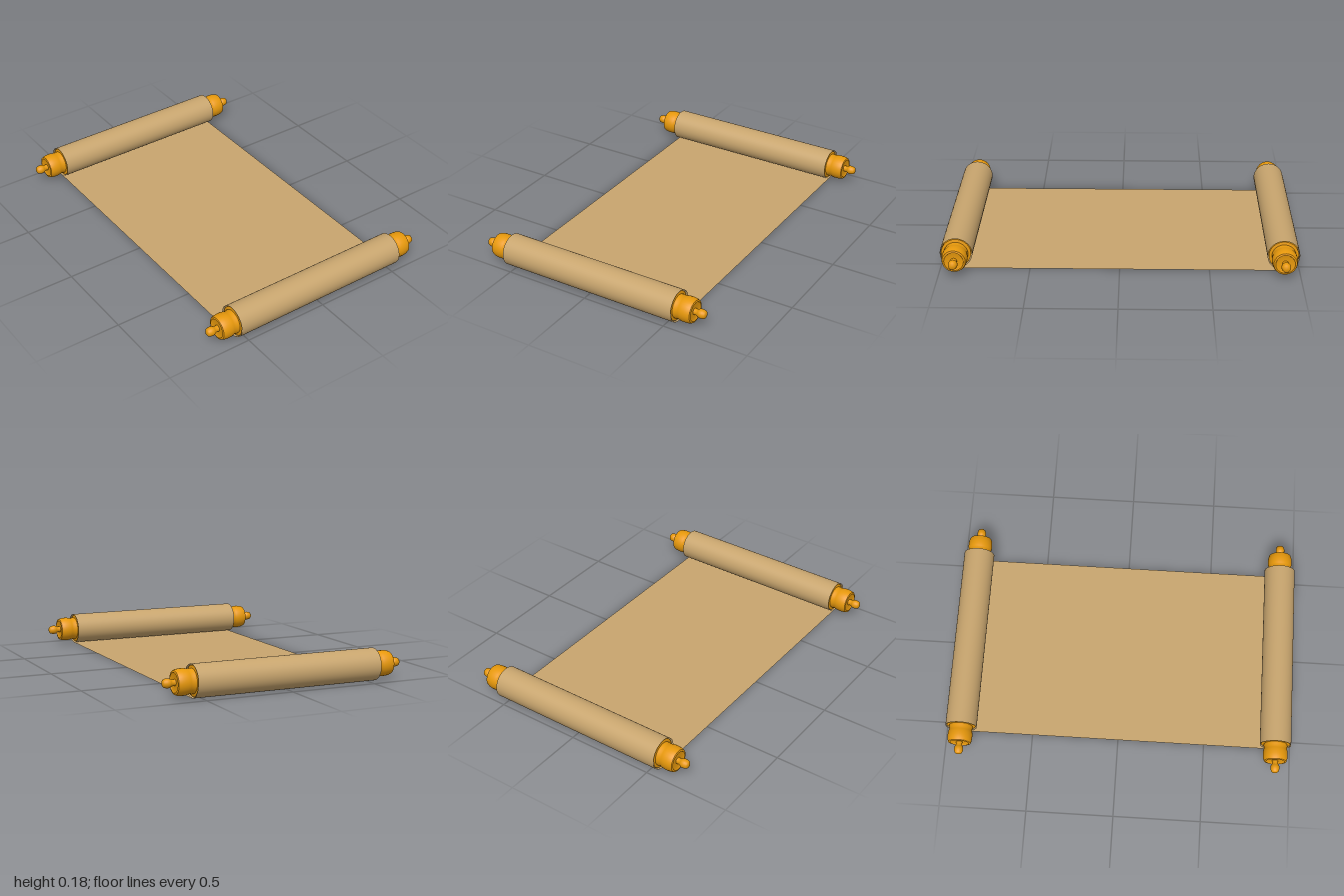
import * as THREE from 'three';

const paper = new THREE.MeshStandardMaterial({ color: 0xc8a56e, side: THREE.DoubleSide });
paper.name = 'parchment';
const gold = new THREE.MeshStandardMaterial({ color: 0xe8990c });
gold.name = 'gold';

const HALF = 0.545, R = 0.09, ROLL_Z = 0.91;

// Ribbon across x from a cross-section of [z, y] points
function ribbon(points, name) {
  const pos = [], index = [];
  points.forEach(([z, y], i) => {
    pos.push(-HALF, y, z, HALF, y, z);
    if (i > 0) {
      const a = 2 * i - 2;
      index.push(a, a + 2, a + 1, a + 1, a + 2, a + 3);
    }
  });
  const g = new THREE.BufferGeometry();
  g.setAttribute('position', new THREE.Float32BufferAttribute(pos, 3));
  g.setIndex(index);
  g.computeVertexNormals();
  const mesh = new THREE.Mesh(g, paper);
  mesh.name = name;
  return mesh;
}

// Paper wound outwards from the bottom tangent, with a slightly shrinking radius
function rollSection() {
  const pts = [], steps = 72, turns = 1.25;
  for (let i = 0; i <= steps; i++) {
    const t = i / steps, a = t * turns * Math.PI * 2;
    const r = R - 0.005 * Math.max(0, t * turns - 0.75) / 0.5;
    pts.push([ROLL_Z + Math.sin(a) * r, R - Math.cos(a) * r]);
  }
  return pts;
}

// Turned end: inset flange, barrel, neck and small ball, as [radius, x]
function handle() {
  const sections = [
    [[0, 0.5], [0.083, 0.5]],
    [[0.083, 0.5], [0.083, 0.538]],
    [[0.083, 0.538], [0.067, 0.541]],
    [[0.067, 0.541], [0.068, 0.552], [0.065, 0.563], [0.068, 0.575], [0.071, 0.59],
      [0.071, 0.61], [0.069, 0.628], [0.064, 0.642]],
    [[0.064, 0.642], [0.054, 0.645]],
    [[0.054, 0.645], [0.05, 0.638], [0.018, 0.638]],
    [[0.018, 0.638], [0.017, 0.652], [0.02, 0.662]],
    [[0.02, 0.662], [0.025, 0.67], [0.026, 0.68], [0.025, 0.69], [0.021, 0.702],
      [0.013, 0.708], [0, 0.709]],
  ];
  const group = new THREE.Group();
  sections.forEach((s) => {
    const g = new THREE.LatheGeometry(s.map(([r, x]) => new THREE.Vector2(r, x)), 32);
    g.rotateZ(-Math.PI / 2);
    group.add(new THREE.Mesh(g, gold));
  });
  group.children.forEach((m, i) => { m.name = 'handleRing' + (i + 1); });
  return group;
}

export function createModel() {
  const model = new THREE.Group();
  model.name = 'scroll';

  // Open sheet lying flat between the rolls
  model.add(ribbon([[-ROLL_Z, 0], [ROLL_Z, 0]], 'sheet'));

  // Front and back rolls, each with a handle at both ends
  for (const side of ['front', 'back']) {
    const end = new THREE.Group();
    end.name = side + 'Roller';
    end.add(ribbon(rollSection(), side + 'Roll'));
    for (const hand of ['left', 'right']) {
      const h = handle();
      h.name = hand + 'Handle';
      h.position.set(0, R, ROLL_Z);
      if (hand === 'right') h.rotation.y = Math.PI;
      end.add(h);
    }
    if (side === 'back') end.rotation.y = Math.PI;
    model.add(end);
  }
  return model;
}
